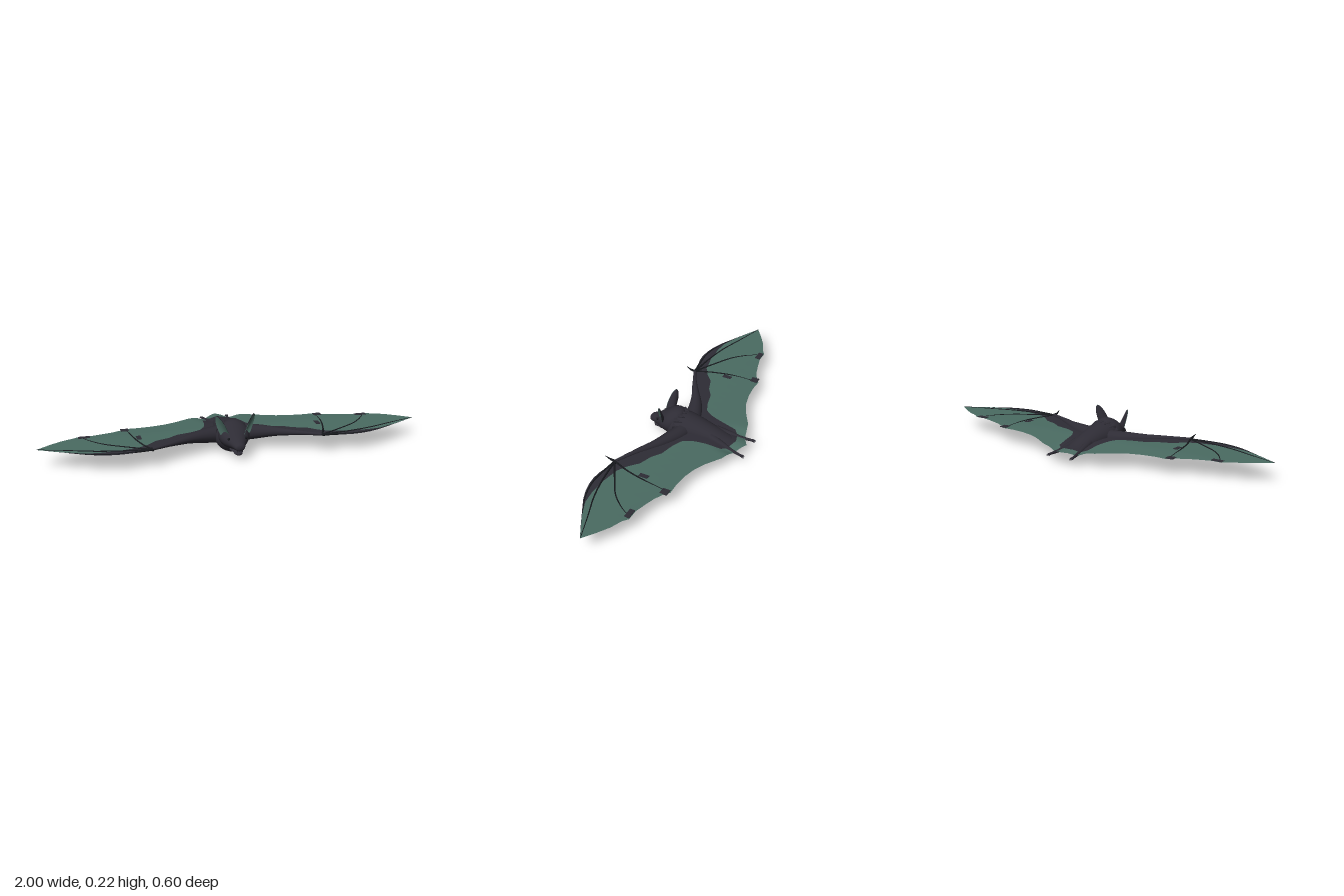
import * as THREE from 'three';
import { mergeVertices } from 'three/addons/utils/BufferGeometryUtils.js';

const V = (x, y, z) => new THREE.Vector3(x, y, z);
const mat = (name, color, side = THREE.FrontSide) => {
  const m = new THREE.MeshStandardMaterial({ color, side });
  m.name = name;
  return m;
};

// Linear lookup in a list of [x, value] pairs
function lookup(table, x) {
  for (let i = 1; i < table.length; i++) {
    const [x0, a] = table[i - 1], [x1, b] = table[i];
    if (x <= x1) return a + (b - a) * (x - x0) / (x1 - x0);
  }
  return table[table.length - 1][1];
}

// Grid surface: u runs across, v runs up, both 0..1
function sheet(nu, nv, fn) {
  const g = new THREE.PlaneGeometry(1, 1, nu, nv), p = g.attributes.position;
  for (let i = 0; i < p.count; i++) {
    const q = fn(p.getX(i) + 0.5, p.getY(i) + 0.5);
    p.setXYZ(i, q.x, q.y, q.z);
  }
  g.computeVertexNormals();
  return g;
}

// Elliptic loft along z from rows of [z, top, bottom, half width]
function loft(rows, sides = 28) {
  const steps = (rows.length - 1) * 4;
  const g = new THREE.CylinderGeometry(1, 1, 1, sides, steps, true);
  g.rotateX(Math.PI / 2);
  const a = new THREE.CatmullRomCurve3(rows.map(r => V(r[0], r[1], r[2])));
  const b = new THREE.CatmullRomCurve3(rows.map(r => V(r[0], r[3], 0)));
  const p = g.attributes.position;
  for (let i = 0; i < p.count; i++) {
    const t = THREE.MathUtils.clamp(p.getZ(i) + 0.5, 0, 1);
    const q = a.getPoint(t), w = Math.max(0, b.getPoint(t).y);
    p.setXYZ(i, p.getX(i) * w, (q.y + q.z) / 2 + p.getY(i) * (q.y - q.z) / 2, q.x);
  }
  g.deleteAttribute('normal');
  g.deleteAttribute('uv');
  const m = mergeVertices(g, 1e-6);
  m.computeVertexNormals();
  return m;
}

// Tapered tube through points with a radius at each; flat squeezes it in y
function limb(points, radii, sides = 8, flat = 1) {
  const curve = new THREE.CatmullRomCurve3(points.map(p => V(...p)));
  const n = (points.length - 1) * 6;
  const g = new THREE.TubeGeometry(curve, n, 1, sides), p = g.attributes.position;
  for (let i = 0; i < p.count; i++) {
    const t = Math.floor(i / (sides + 1)) / n, c = curve.getPointAt(t);
    const f = t * (radii.length - 1), k = Math.min(Math.floor(f), radii.length - 2);
    const r = radii[k] + (radii[k + 1] - radii[k]) * (f - k);
    const d = V(p.getX(i), p.getY(i), p.getZ(i)).sub(c).multiplyScalar(r);
    p.setXYZ(i, c.x + d.x, c.y + d.y * flat, c.z + d.z);
  }
  return g;
}

// Mirrored copy across x, with triangles turned back outward
function mirrored(g) {
  const m = g.clone().scale(-1, 1, 1), ix = m.index;
  for (let i = 0; i < ix.count; i += 3) {
    const t = ix.getX(i);
    ix.setX(i, ix.getX(i + 1));
    ix.setX(i + 1, t);
  }
  return m;
}

// Sort triangles into two material groups by the position of their centre
function paint(g, test) {
  const p = g.attributes.position, lists = [[], []];
  for (let i = 0; i < g.index.count; i += 3) {
    const tri = [0, 1, 2].map(k => g.index.getX(i + k)), c = V(0, 0, 0);
    tri.forEach(k => c.add(V(p.getX(k), p.getY(k), p.getZ(k))));
    lists[test(c.divideScalar(3)) ? 1 : 0].push(...tri);
  }
  g.setIndex([...lists[0], ...lists[1]]);
  g.addGroup(0, lists[0].length, 0);
  g.addGroup(lists[0].length, lists[1].length, 1);
  return g;
}

// Wing outline: leading edge, edge of the fur, trailing edge (z at each x)
const LEAD = [[0, 0.08], [0.085, 0.085], [0.14, 0.1], [0.22, 0.14], [0.33, 0.2], [0.42, 0.24], [0.445, 0.25],
  [0.5, 0.257], [0.55, 0.27], [0.6, 0.275], [0.65, 0.271], [0.7, 0.26], [0.76, 0.237], [0.83, 0.2], [0.91, 0.157], [1, 0.107]];
const FUR = [[0, -0.22], [0.06, -0.2], [0.095, -0.17], [0.1, -0.1], [0.115, -0.03], [0.145, 0.02], [0.2, 0.045],
  [0.28, 0.065], [0.33, 0.1], [0.4, 0.125], [0.45, 0.17], [0.5, 0.2], [0.6, 0.22], [0.7, 0.225], [0.77, 0.218], [0.85, 0.187], [1, 0.107]];
const TRAIL = [[0, -0.28], [0.03, -0.262], [0.07, -0.24], [0.12, -0.227], [0.16, -0.215], [0.2, -0.19], [0.25, -0.16],
  [0.31, -0.134], [0.38, -0.117], [0.45, -0.11], [0.52, -0.112], [0.55, -0.088], [0.6, -0.064], [0.66, -0.046],
  [0.72, -0.03], [0.78, -0.03], [0.81, -0.008], [0.87, 0.017], [0.93, 0.056], [1, 0.107]];
const wingY = (x, z) => 0.095 + Math.min(0, z) * 0.08
  - 0.016 * Math.exp(-(((x - 0.07) / 0.035) ** 2)) * THREE.MathUtils.smoothstep(-z, 0.1, 0.24);
const strip = (from, to, rows) => sheet(100, rows, (x, v) => {
  const a = lookup(from, x), z = a + (Math.min(lookup(to, x), a) - a) * v;
  return V(x, wingY(x, z), z);
});

export function createModel() {
  const model = new THREE.Group();
  const fur = mat('dark fur', 0x2e2c35, THREE.DoubleSide);
  const skin = mat('green skin', 0x4a6b62, THREE.DoubleSide);
  const bone = mat('black bone', 0x17191d);
  const add = (name, g, m) => {
    const mesh = new THREE.Mesh(g, m);
    mesh.name = name;
    model.add(mesh);
  };
  const pair = (name, g, m) => {
    add(name + 'Left', g, m);
    add(name + 'Right', mirrored(g), m);
  };

  // Torso, head and open jaw
  add('torso', loft([[-0.225, 0.066, 0.058, 0], [-0.2, 0.077, 0.05, 0.03], [-0.165, 0.088, 0.046, 0.043],
    [-0.115, 0.107, 0.04, 0.052], [-0.06, 0.125, 0.026, 0.062], [0, 0.142, 0.018, 0.072], [0.06, 0.155, 0.006, 0.084],
    [0.11, 0.16, 0, 0.088], [0.14, 0.155, 0.006, 0.078], [0.17, 0.14, 0.033, 0.06], [0.19, 0.1, 0.07, 0]]), fur);
  const head = loft([[0.075, 0.13, 0.07, 0], [0.09, 0.166, 0.04, 0.055], [0.125, 0.173, 0.03, 0.078],
    [0.155, 0.164, 0.032, 0.08], [0.185, 0.145, 0.038, 0.07], [0.21, 0.127, 0.044, 0.054], [0.235, 0.108, 0.05, 0.04],
    [0.258, 0.098, 0.053, 0.031], [0.275, 0.089, 0.056, 0.022], [0.281, 0.075, 0.068, 0]], 40);
  paint(head, c => c.z > 0.2 && c.y > 0.068 && (Math.abs(c.x) < 0.02 || c.z > 0.255));
  add('head', head, [fur, skin]);
  const jaw = loft([[0.17, 0.06, 0.035, 0.03], [0.2, 0.05, 0.034, 0.036], [0.225, 0.046, 0.033, 0.027],
    [0.25, 0.04, 0.024, 0.017], [0.262, 0.034, 0.03, 0]], 20);
  add('lowerJaw', paint(jaw, c => c.z > 0.215), [fur, skin]);
  pair('eye', new THREE.SphereGeometry(0.007, 12, 8).translate(0.045, 0.104, 0.217), bone);
  pair('fang', new THREE.ConeGeometry(0.003, 0.014, 6).rotateX(Math.PI).translate(0.012, 0.052, 0.262), bone);

  // Fur tufts around the back of the collar
  for (let i = 0; i < 7; i++) {
    const a = (i / 6 - 0.5) * 2.4;
    const g = new THREE.ConeGeometry(0.018, 0.05, 6).rotateX(-Math.PI / 2 + 0.1)
      .translate(Math.sin(a) * 0.074, 0.09 + Math.cos(a) * 0.066, 0.085);
    add('collarTuft', g, fur);
  }

  // Cupped ears: green inside, furred behind
  const ear = back => sheet(14, 18, (u, v) => {
    const s = u * 2 - 1;
    const w = 0.038 * Math.pow(1 - v, 0.6) * (0.72 + 0.65 * v) + 0.0005;
    const push = -0.018 * (1 - s * s) * (1 - v) - back * (1 - 0.7 * s * s);
    return V(0.058 + 0.04 * v + s * w * 0.72 + push * 0.65, 0.115 + 0.102 * v,
      0.193 - 0.013 * v - s * w * 0.68 + push * 0.75);
  });
  pair('innerEar', ear(0), skin);
  pair('outerEar', ear(0.007), fur);

  // Wings: furred front band and bare membrane
  pair('wingFur', strip(LEAD, FUR, 8), fur);
  pair('wingMembrane', strip(FUR, TRAIL, 10), skin);
  for (const [x, z, w, d] of [[0.527, -0.085, 0.04, 0.04], [0.747, -0.013, 0.06, 0.028], [0.477, 0.06, 0.024, 0.05]])
    pair('wingSpot', new THREE.BoxGeometry(w, 0.004, d).translate(x, wingY(x, z), z), fur);

  // Arms, finger bones and thumb claws
  pair('arm', limb([[0.04, 0.08, 0.06], [0.1, 0.083, 0.075], [0.2, 0.09, 0.115], [0.33, 0.096, 0.188], [0.447, 0.097, 0.247]],
    [0.05, 0.038, 0.022, 0.012, 0.007], 14, 0.95), fur);
  const fingers = [
    [[0.445, 0.245], [0.48, 0.15], [0.505, 0.04], [0.52, -0.108]],
    [[0.445, 0.245], [0.55, 0.185], [0.66, 0.115], [0.725, 0.045], [0.768, -0.026]],
    [[0.445, 0.245], [0.6, 0.226], [0.72, 0.2], [0.85, 0.155], [0.995, 0.107]],
    [[0.445, 0.245], [0.53, 0.257], [0.63, 0.262], [0.74, 0.238], [0.85, 0.186]],
  ];
  for (const f of fingers)
    pair('fingerBone', limb(f.map(([x, z]) => [x, wingY(x, z), z]), [0.006, 0.0045, 0.004, 0.003, 0.0015], 6), bone);
  pair('thumbClaw', limb([[0.445, 0.097, 0.24], [0.443, 0.1, 0.268], [0.447, 0.114, 0.3]], [0.008, 0.005, 0.0005], 8), bone);

  // Hind legs with toes
  pair('hindLeg', limb([[0.035, 0.08, -0.09], [0.05, 0.068, -0.17], [0.06, 0.06, -0.225], [0.071, 0.054, -0.285]],
    [0.026, 0.018, 0.009, 0.006], 10), fur);
  for (const dx of [-0.007, 0, 0.007])
    pair('toe', limb([[0.07, 0.055, -0.275], [0.071 + dx, 0.054, -0.289], [0.072 + dx, 0.048, -0.3]], [0.005, 0.0035, 0.0005], 6), fur);

  return model;
}
